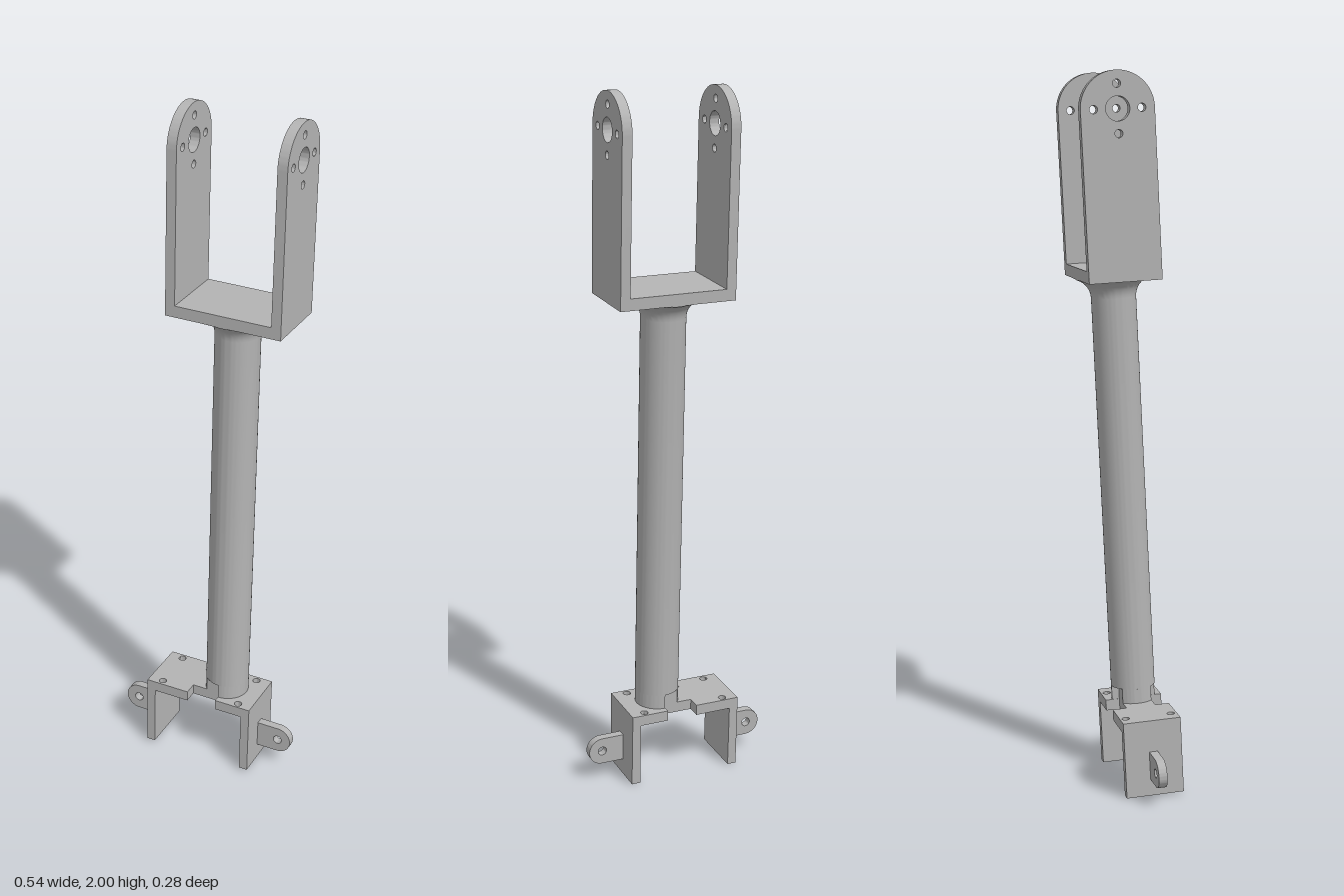
import * as THREE from 'three';
import { toCreasedNormals } from 'three/addons/utils/BufferGeometryUtils.js';

const grey = new THREE.MeshStandardMaterial({ color: 0xb4b4b4 });
grey.name = 'plain grey';

const SHAFT_X = 0.058, SHAFT_R = 0.063;
const BRACKET_W = 0.167, BRACKET_D = 0.082, BRACKET_TOP = 0.217, BRACKET_UNDER = 0.186;
const FORK_BASE = 1.434, FORK_FLOOR = 1.467, FORK_R = 0.1015, FORK_W = 0.168, PIVOT_Y = 1.895;

function polygon(points) {
  return new THREE.Shape(points.map(([x, y]) => new THREE.Vector2(x, y)));
}

function addHole(shape, x, y, r) {
  const hole = new THREE.Path();
  hole.absarc(x, y, r, 0, Math.PI * 2, true);
  shape.holes.push(hole);
}

function extrude(shape, depth) {
  const geo = new THREE.ExtrudeGeometry(shape, { depth, bevelEnabled: false, curveSegments: 24 });
  return toCreasedNormals(geo, 0.6);
}

function add(parent, name, geometry, x = 0, y = 0, z = 0) {
  const mesh = new THREE.Mesh(geometry, grey);
  mesh.name = name;
  mesh.position.set(x, y, z);
  parent.add(mesh);
}

function addBox(parent, name, x0, x1, y0, y1, halfDepth) {
  add(parent, name, new THREE.BoxGeometry(x1 - x0, y1 - y0, halfDepth * 2), (x0 + x1) / 2, (y0 + y1) / 2);
}

// Round-topped fork arm with a pivot hole and four screw holes
function forkArmGeometry(thickness) {
  const shape = new THREE.Shape();
  shape.moveTo(-FORK_R, FORK_BASE);
  shape.lineTo(FORK_R, FORK_BASE);
  shape.lineTo(FORK_R, PIVOT_Y);
  shape.absarc(0, PIVOT_Y, FORK_R, 0, Math.PI, false);
  shape.closePath();
  addHole(shape, 0, PIVOT_Y, 0.033);
  for (let i = 0; i < 4; i++) {
    const a = i * Math.PI / 2;
    addHole(shape, Math.cos(a) * 0.066, PIVOT_Y + Math.sin(a) * 0.066, 0.011);
  }
  return extrude(shape, thickness).rotateY(Math.PI / 2);
}

// Bracket deck with front and back notches and four screw holes
function deckGeometry() {
  const w = BRACKET_W, d = BRACKET_D, n = 0.042, a = -0.034, b = 0.057;
  const shape = polygon([
    [-w, -d], [a, -d], [a, -n], [b, -n], [b, -d], [w, -d],
    [w, d], [b, d], [b, n], [a, n], [a, d], [-w, d],
  ]);
  for (const x of [-0.124, 0.124]) for (const z of [-0.065, 0.065]) addHole(shape, x, z, 0.011);
  return extrude(shape, BRACKET_TOP - BRACKET_UNDER).rotateX(-Math.PI / 2);
}

// Shaft foot: a round section with two quarters cut flat by the notches
function footGeometry(height) {
  const n = 0.042, a = Math.asin(n / SHAFT_R);
  const shape = new THREE.Shape();
  shape.moveTo(0, -SHAFT_R);
  shape.absarc(0, 0, SHAFT_R, -Math.PI / 2, Math.PI / 2, false);
  shape.lineTo(0, n);
  shape.lineTo(-Math.cos(a) * SHAFT_R, n);
  shape.absarc(0, 0, SHAFT_R, Math.PI - a, Math.PI + a, false);
  shape.lineTo(0, -n);
  shape.closePath();
  return extrude(shape, height).rotateX(-Math.PI / 2);
}

// Shaft with a concave flare, trimmed to the depth of the fork floor
function shaftGeometry(bottom) {
  const f = 0.055;
  const points = [new THREE.Vector2(0, bottom), new THREE.Vector2(SHAFT_R, bottom)];
  for (let i = 0; i <= 10; i++) {
    const a = i / 10 * Math.PI / 2;
    points.push(new THREE.Vector2(SHAFT_R + f * (1 - Math.cos(a)), FORK_BASE - f + f * Math.sin(a)));
  }
  const geo = new THREE.LatheGeometry(points, 64);
  const pos = geo.attributes.position;
  for (let i = 0; i < pos.count; i++) {
    pos.setZ(i, THREE.MathUtils.clamp(pos.getZ(i), -FORK_R, FORK_R));
  }
  return toCreasedNormals(geo, 0.6);
}

// Side ear with a rounded end and a hole
function earGeometry(side) {
  const r = 0.04, x0 = BRACKET_W - 0.005, xc = 0.232, y = 0.087;
  const shape = new THREE.Shape();
  shape.moveTo(x0, y - r);
  shape.lineTo(xc, y - r);
  shape.absarc(xc, y, r, -Math.PI / 2, Math.PI / 2, false);
  shape.lineTo(x0, y + r);
  shape.closePath();
  addHole(shape, xc, y, 0.013);
  const geo = extrude(shape, 0.024).translate(0, 0, -0.012);
  return side < 0 ? geo.rotateY(Math.PI) : geo;
}

export function createModel() {
  const model = new THREE.Group();
  model.name = 'forkedLink';

  // The whole link leans slightly backwards
  const link = new THREE.Group();
  link.name = 'link';
  link.position.set(0, 0.004, 0.0585);
  link.rotation.x = -0.05;
  model.add(link);

  // Lower bracket
  add(link, 'bracketDeck', deckGeometry(), 0, BRACKET_UNDER);
  addBox(link, 'rightBracketSide', -BRACKET_W, -BRACKET_W + 0.026, 0, BRACKET_UNDER, BRACKET_D);
  addBox(link, 'leftBracketSide', BRACKET_W - 0.026, BRACKET_W, 0, BRACKET_UNDER, BRACKET_D);
  add(link, 'leftEar', earGeometry(1));
  add(link, 'rightEar', earGeometry(-1));

  // Shaft
  const footTop = 0.259;
  add(link, 'shaftFoot', footGeometry(footTop - BRACKET_UNDER), SHAFT_X, BRACKET_UNDER);
  add(link, 'shaft', shaftGeometry(footTop), SHAFT_X);

  // Upper fork
  const t = 0.028;
  addBox(link, 'forkFloor', SHAFT_X - FORK_W + t, SHAFT_X + FORK_W - t, FORK_BASE, FORK_FLOOR, FORK_R);
  add(link, 'rightForkArm', forkArmGeometry(t), SHAFT_X - FORK_W);
  add(link, 'leftForkArm', forkArmGeometry(t), SHAFT_X + FORK_W - t);

  return model;
}
